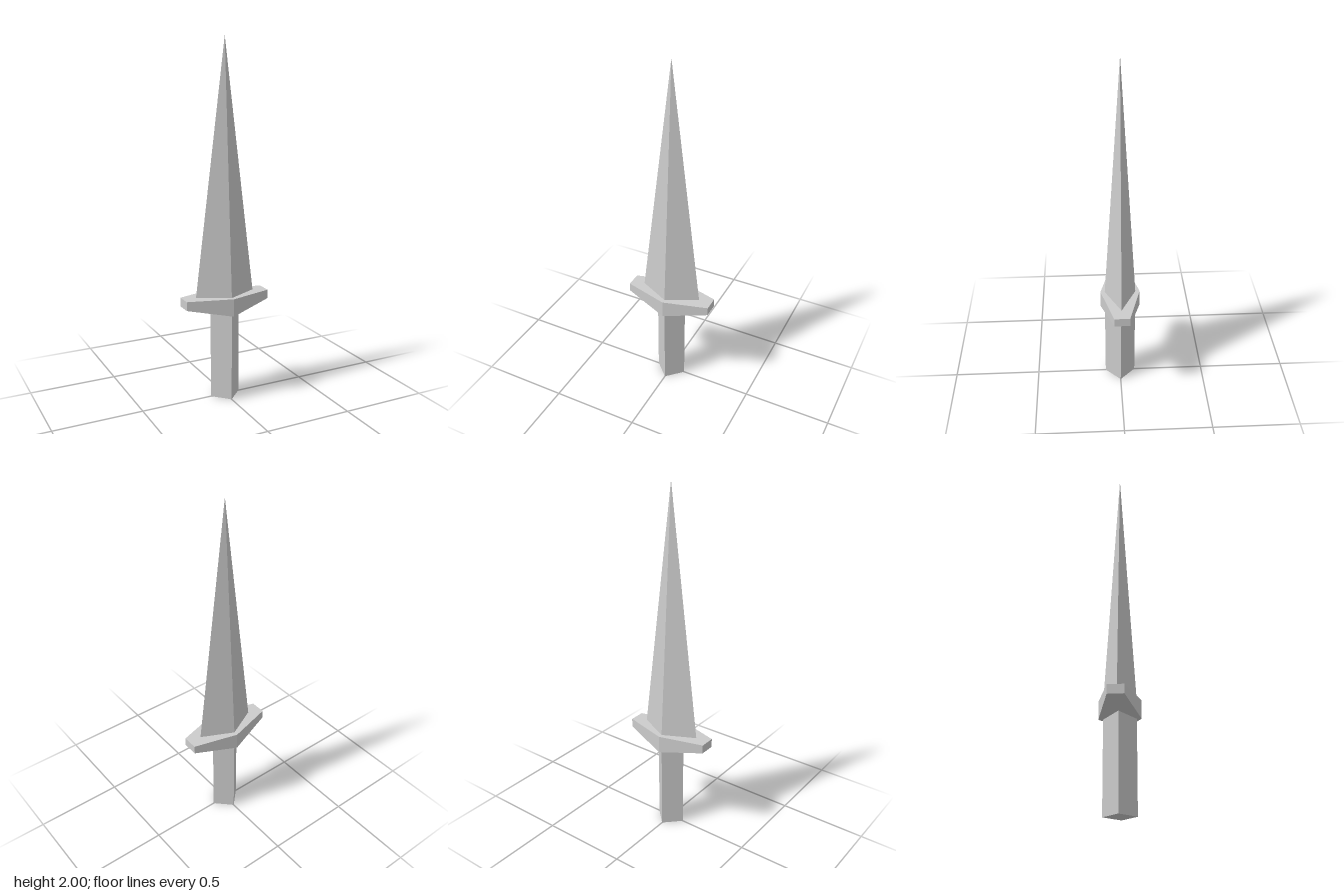
import * as THREE from 'three';

const material = new THREE.MeshStandardMaterial({ color: 0xcccccc, flatShading: true });

function part(name, geometry, y) {
  const mesh = new THREE.Mesh(geometry, material);
  mesh.name = name;
  mesh.position.y = y;
  return mesh;
}

// Box tapered towards both ends: thinner in z, with a raised underside
function guardGeometry() {
  const half = 0.25, midZ = 0.113, endZ = 0.044, height = 0.1, rise = 0.05;
  const geometry = new THREE.BoxGeometry(half * 2, height, midZ * 2, 2, 1, 1);
  const pos = geometry.attributes.position;
  for (let i = 0; i < pos.count; i++) {
    const t = Math.abs(pos.getX(i)) / half;
    pos.setZ(i, Math.sign(pos.getZ(i)) * THREE.MathUtils.lerp(midZ, endZ, t));
    if (pos.getY(i) < 0) pos.setY(i, -height / 2 + rise * t);
  }
  geometry.computeVertexNormals();
  return geometry;
}

export function createModel() {
  const group = new THREE.Group();
  group.name = 'dagger';

  // Square grip turned corner-forward, its top sunk into the guard
  group.add(part('grip', new THREE.CylinderGeometry(0.088, 0.088, 0.55, 4), 0.275));

  // Crossguard
  group.add(part('crossguard', guardGeometry(), 0.55));

  // Flattened four-sided blade
  const blade = new THREE.ConeGeometry(0.176, 1.4, 4, 1, true);
  blade.scale(1, 1, 0.5);
  group.add(part('blade', blade, 1.3));

  return group;
}
